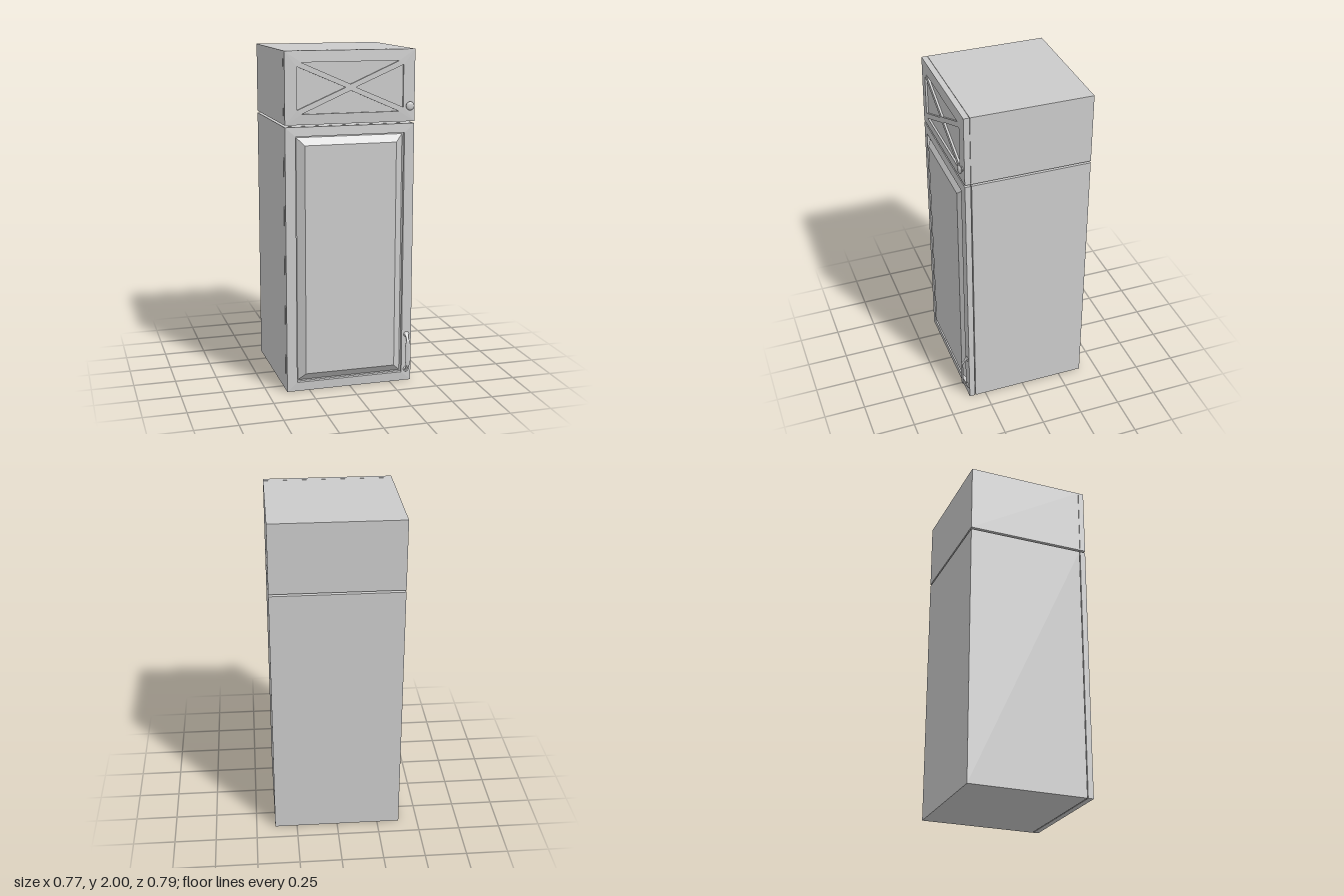
import * as THREE from 'three';

const W = 0.385; // half width of the cabinet
const material = new THREE.MeshStandardMaterial({ color: 0xcccccc });

function add(parent, name, geometry, x = 0, y = 0, z = 0) {
  const mesh = new THREE.Mesh(geometry, material);
  mesh.name = name;
  mesh.position.set(x, y, z);
  parent.add(mesh);
  return mesh;
}

function block(parent, name, halfWidth, y0, y1, z0, z1) {
  const geo = new THREE.BoxGeometry(2 * halfWidth, y1 - y0, z1 - z0);
  return add(parent, name, geo, 0, (y0 + y1) / 2, (z0 + z1) / 2);
}

const points = (list) => list.map(([x, y]) => new THREE.Vector2(x, y));
const rect = (w, y0, y1) => [[-w, y0], [w, y0], [w, y1], [-w, y1]];

// Front slab with cut-outs; its face rises slightly from the rim to the cut-outs
function frontFrame(parent, name, y0, y1, holes, z0, depth) {
  const shape = new THREE.Shape(points(rect(W, y0, y1)));
  holes.forEach((h) => shape.holes.push(new THREE.Path(points(h))));
  const geo = new THREE.ExtrudeGeometry(shape, { depth, bevelEnabled: false });
  const p = geo.attributes.position;
  for (let i = 0; i < p.count; i++) {
    if (p.getZ(i) > depth / 2 && Math.abs(p.getX(i)) < W - 0.02) p.setZ(i, depth + 0.004);
  }
  geo.computeVertexNormals();
  return add(parent, name, geo, 0, 0, z0);
}

// Raised panel: a box whose front face is drawn in to make wide bevels
function raisedPanel(parent, halfWidth, y0, y1, z0, z1, inset) {
  const mesh = block(parent, 'doorRaisedPanel', halfWidth, y0, y1, z0, z1);
  const p = mesh.geometry.attributes.position;
  for (let i = 0; i < p.count; i++) {
    if (p.getZ(i) > 0) {
      p.setX(i, p.getX(i) - Math.sign(p.getX(i)) * inset);
      p.setY(i, p.getY(i) - Math.sign(p.getY(i)) * inset);
    }
  }
  mesh.geometry = mesh.geometry.toNonIndexed();
  mesh.geometry.computeVertexNormals();
}

// Handle grip: elliptical rings [y, z, half width, half thickness] joined in a loop
function gripGeometry(rings, sides = 16) {
  const pos = [], index = [];
  rings.forEach(([y, z, rx, rz]) => {
    for (let i = 0; i < sides; i++) {
      const a = (i / sides) * Math.PI * 2;
      pos.push(Math.cos(a) * rx, y, z + Math.sin(a) * rz);
    }
  });
  for (let r = 0; r < rings.length - 1; r++) {
    for (let i = 0; i < sides; i++) {
      const a = r * sides + i, b = r * sides + (i + 1) % sides;
      index.push(a, a + sides, b, b, a + sides, b + sides);
    }
  }
  const geo = new THREE.BufferGeometry();
  geo.setAttribute('position', new THREE.Float32BufferAttribute(pos, 3));
  geo.setIndex(index);
  geo.computeVertexNormals();
  return geo;
}

function turned(profile) {
  return new THREE.LatheGeometry(points(profile), 24).rotateX(Math.PI / 2);
}

export function createModel() {
  const model = new THREE.Group();
  model.name = 'cabinet';

  // Lower cupboard with a framed, raised-panel door
  const lower = new THREE.Group();
  lower.name = 'lowerCupboard';
  model.add(lower);
  block(lower, 'cupboardBody', W, 0, 1.573, -0.395, 0.314);
  frontFrame(lower, 'doorFrame', 0, 1.573, [rect(0.325, 0.055, 1.52)], 0.319, 0.034);
  block(lower, 'doorBack', 0.33, 0.05, 1.525, 0.32, 0.335);
  raisedPanel(lower, 0.318, 0.062, 1.513, 0.334, 0.366, 0.045);

  // Upper drawer box with a crossed front
  const upper = new THREE.Group();
  upper.name = 'drawerUnit';
  model.add(upper);
  block(upper, 'drawerBody', W, 1.585, 2, -0.395, 0.317);
  const cy = 1.79;
  const triangles = [];
  for (const s of [-1, 1]) {
    triangles.push([[s * 0.315, cy - 0.122], [s * 0.315, cy + 0.122], [s * 0.03, cy]]);
    triangles.push([[-0.29, cy + s * 0.145], [0.29, cy + s * 0.145], [0, cy + s * 0.018]]);
  }
  frontFrame(upper, 'drawerFrontCross', 1.585, 2, triangles, 0.319, 0.034);
  block(upper, 'drawerFrontBack', 0.33, 1.63, 1.95, 0.32, 0.345);

  // Round drawer knob
  add(upper, 'drawerKnob', turned([
    [0, 0], [0.016, 0], [0.016, 0.004], [0.009, 0.007], [0.009, 0.01], [0.02, 0.011],
    [0.025, 0.016], [0.025, 0.02], [0.02, 0.026], [0.01, 0.028], [0, 0.028],
  ]), 0.352, 1.675, 0.352);

  // Door pull: a bowed grip ending in two rosettes
  const pull = new THREE.Group();
  pull.name = 'doorPull';
  pull.position.set(0.354, 0.182, 0.352);
  lower.add(pull);
  const half = [
    [0.122, 0.004, 0.006, 0.003], [0.11, 0.011, 0.012, 0.005], [0.1, 0.019, 0.008, 0.005],
    [0.083, 0.034, 0.009, 0.005], [0.072, 0.037, 0.013, 0.005], [0.045, 0.037, 0.018, 0.005],
  ];
  const mirrored = half.map(([y, ...rest]) => [-y, ...rest]);
  add(pull, 'pullGrip', gripGeometry([...mirrored, ...half.slice().reverse()]));
  for (const s of [-1, 1]) {
    add(pull, 'pullRosette', turned([
      [0, 0], [0.018, 0], [0.018, 0.003], [0.012, 0.008], [0, 0.01],
    ]), 0, s * 0.11, 0);
  }
  return model;
}
